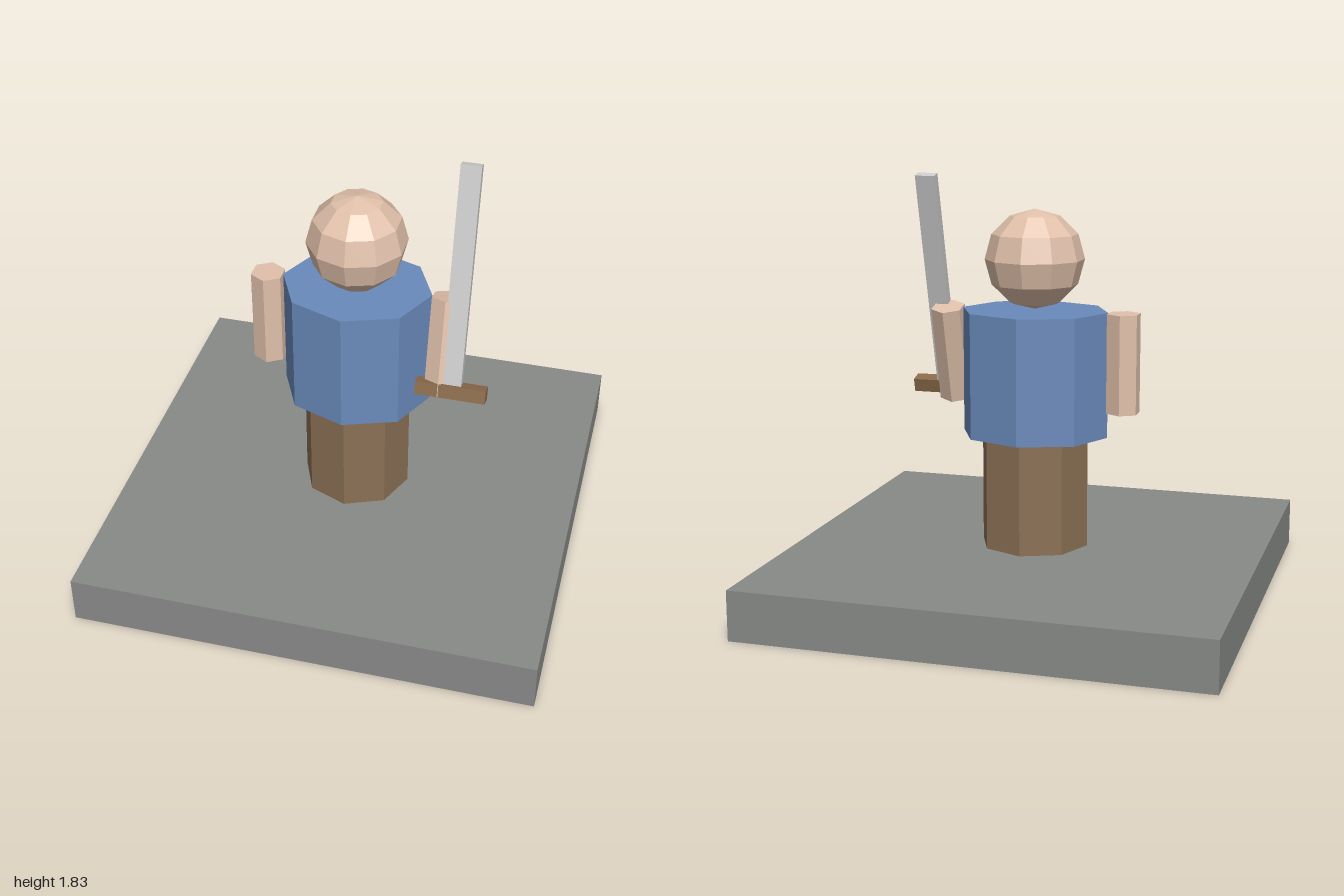
import * as THREE from 'three';

const paint = (color) => new THREE.MeshStandardMaterial({ color, flatShading: true });
const STONE = paint(0x888a88);
const LEATHER = paint(0x8b7055);
const CLOTH = paint(0x6a8abb);
const SKIN = paint(0xe0c0aa);
const STEEL = paint(0xc8c8cc);
const WOOD = paint(0x8b6b4a);

function add(parent, name, geometry, material, x, y, z) {
  const mesh = new THREE.Mesh(geometry, material);
  mesh.name = name;
  mesh.position.set(x, y, z);
  parent.add(mesh);
  return mesh;
}

// Straight prism with the given number of sides
const prism = (radius, height, sides) => new THREE.CylinderGeometry(radius, radius, height, sides);

export function createModel() {
  const model = new THREE.Group();
  model.name = 'swordsmanFigure';

  // Square plinth
  add(model, 'base', new THREE.BoxGeometry(2, 0.215, 2), STONE, 0, 0.1075, 0);

  // Body: octagonal legs block and a torso slightly flattened front to back
  add(model, 'legs', prism(0.238, 0.49, 8), LEATHER, 0, 0.46, 0);
  add(model, 'torso', prism(0.325, 0.545, 8), CLOTH, 0, 0.9775, 0).scale.z = 0.86;

  // Faceted head
  const head = new THREE.SphereGeometry(0.215, 10, 6).rotateY(Math.PI / 2);
  add(model, 'head', head, SKIN, 0, 1.47, 0);

  // Right arm hangs straight down
  const arm = prism(0.075, 0.43, 6);
  add(model, 'rightArm', arm, SKIN, -0.393, 1.035, 0);

  // Left arm swings forward and carries the sword along its axis
  const swordArm = new THREE.Group();
  swordArm.name = 'swordArm';
  swordArm.position.set(0.393, 1.042, 0.046);
  swordArm.rotation.x = -Math.PI / 12;
  model.add(swordArm);

  add(swordArm, 'leftArm', arm, SKIN, 0, 0, 0);
  add(swordArm, 'swordGuard', new THREE.BoxGeometry(0.304, 0.06, 0.06), WOOD, 0.053, -0.186, 0.044);
  add(swordArm, 'swordBlade', new THREE.BoxGeometry(0.088, 0.959, 0.04), STEEL, 0.053, 0.3235, 0.044);

  return model;
}
